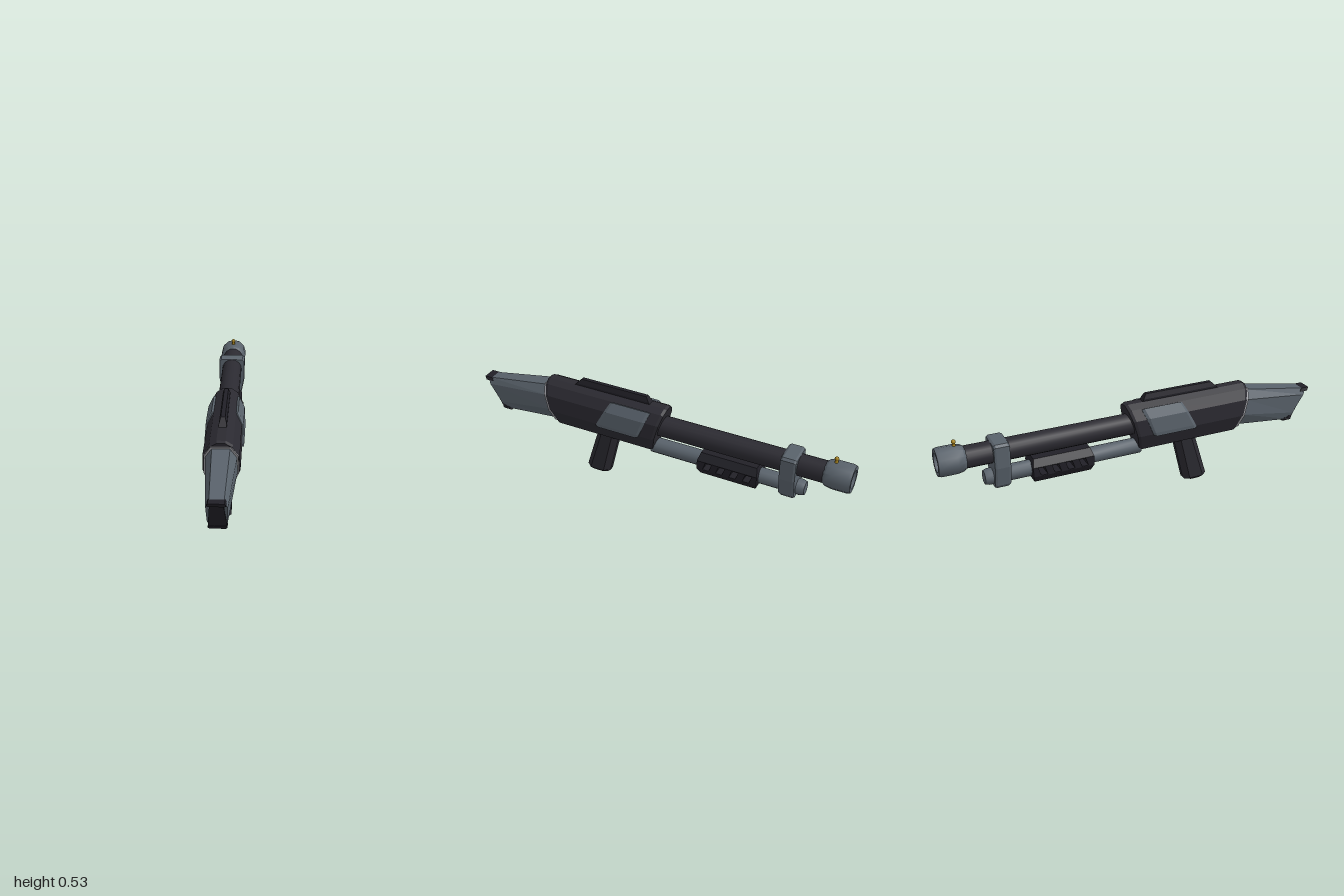
import * as THREE from 'three';
import { toCreasedNormals } from 'three/addons/utils/BufferGeometryUtils.js';

const mat = (name, color) => {
  const m = new THREE.MeshStandardMaterial({ color });
  m.name = name;
  return m;
};

// Full outline from a right-hand half listed bottom to top
const full = (half) => [...half, ...half.slice().reverse().map(([x, y]) => [-x, y])];

// z as a straight line through (y0, z0) and (y1, z1)
const slope = (y0, z0, y1, z1) => (y) => z0 + ((y - y0) / (y1 - y0)) * (z1 - z0);

// Put an outline on a slanted plane, optionally shrunk about (cx, cy)
const ring = (pts, zOf, dz = 0, s = 1, cx = 0, cy = 0) =>
  pts.map(([x, y]) => [cx + (x - cx) * s, cy + (y - cy) * s, zOf(y) + dz]);

// Capped flat-shaded skin over rings ordered toward +z
function loft(rings) {
  const pos = [];
  const n = rings[0].length;
  const tri = (a, b, c) => pos.push(...a, ...b, ...c);
  for (let i = 0; i < rings.length - 1; i++) {
    for (let j = 0; j < n; j++) {
      const k = (j + 1) % n;
      tri(rings[i][j], rings[i][k], rings[i + 1][k]);
      tri(rings[i][j], rings[i + 1][k], rings[i + 1][j]);
    }
  }
  const first = rings[0], last = rings[rings.length - 1];
  for (let j = 1; j < n - 1; j++) {
    tri(first[0], first[j + 1], first[j]);
    tri(last[0], last[j], last[j + 1]);
  }
  const g = new THREE.BufferGeometry();
  g.setAttribute('position', new THREE.Float32BufferAttribute(pos, 3));
  g.computeVertexNormals();
  return g;
}

// Turned part along -z; profile is [radius, distance forward]
function turned(profile, y, sides) {
  const g = new THREE.LatheGeometry(profile.map(([r, d]) => new THREE.Vector2(r, d)), sides);
  g.rotateX(-Math.PI / 2).translate(0, y, 0);
  return toCreasedNormals(g, 0.6);
}

export function createModel() {
  const model = new THREE.Group();
  model.name = 'longGun';
  const dark = mat('dark gunmetal', 0x2b2a31);
  const grey = mat('slate grey', 0x59626b);
  const black = mat('black rubber', 0x212027);
  const silver = mat('silver trim', 0x96969b);
  const gold = mat('brass', 0xa8841f);
  const add = (name, geometry, material) => {
    const mesh = new THREE.Mesh(geometry, material);
    mesh.name = name;
    model.add(mesh);
    return mesh;
  };

  // Receiver with slanted, chamfered ends
  const body = full([[0.045, 0.25], [0.084, 0.34], [0.081, 0.425], [0.052, 0.475], [0.02, 0.495]]);
  const front = slope(0.495, -0.065, 0.25, 0);
  const rear = slope(0.495, 0.61, 0.25, 0.555);
  add('receiver', loft([
    ring(body, front, 0, 0.94, 0, 0.375), ring(body, front, 0.014),
    ring(body, rear, -0.014), ring(body, rear, 0, 0.94, 0, 0.375),
  ]), dark);

  // Raised side plates
  const plate = [[0.06, 0.325], [0.092, 0.33], [0.094, 0.35], [0.089, 0.43], [0.063, 0.478], [0.035, 0.465]];
  const plateBack = slope(0.48, 0.005, 0.33, 0.06);
  const plateFront = slope(0.48, 0.225, 0.33, 0.3);
  for (const s of [1, -1]) {
    const p = plate.map(([x, y]) => [x * s, y]);
    if (s < 0) p.reverse();
    add(s > 0 ? 'leftPlate' : 'rightPlate', loft([
      ring(p, plateBack, 0, 0.93, 0, 0.4), ring(p, plateBack, 0.014),
      ring(p, plateFront, -0.014), ring(p, plateFront, 0, 0.93, 0, 0.4),
    ]), grey);
  }

  // Top rail
  const rail = full([[0.018, 0.485], [0.018, 0.505], [0.01, 0.53]]);
  add('topRail', loft([
    ring(rail, slope(0.495, 0.03, 0.53, 0.05)), ring(rail, slope(0.495, 0.45, 0.53, 0.415)),
  ]), black);

  // Stock, trim ring and butt pad
  const trim = full([[0.046, 0.264], [0.078, 0.335], [0.076, 0.425], [0.045, 0.472]]);
  add('stockTrim', loft([ring(trim, rear, -0.01), ring(trim, rear, 0.01)]), silver);
  const root = full([[0.04, 0.275], [0.072, 0.34], [0.07, 0.42], [0.04, 0.465]]);
  const tip = full([[0.032, 0.238], [0.043, 0.275], [0.045, 0.37], [0.03, 0.4]]);
  const butt = slope(0.4, 0.985, 0.238, 0.885);
  add('stock', loft([ring(root, rear), ring(tip, butt)]), grey);
  const pad = full([[0.038, 0.236], [0.04, 0.25], [0.028, 0.395]]);
  add('buttPad', loft([ring(pad, butt, -0.012), ring(pad, butt, 0.008)]), black);
  const heel = full([[0.034, 0.384], [0.04, 0.388], [0.034, 0.404]]);
  add('buttHeel', loft([ring(heel, butt, -0.03), ring(heel, butt, 0.014)]), black);
  const toe = full([[0.034, 0.233], [0.041, 0.24], [0.038, 0.25]]);
  add('buttToe', loft([ring(toe, butt, -0.03), ring(toe, butt, 0.012)]), black);

  // Raked grip: sections stacked upward, [height, rear z, front z, half width]
  const gripRings = [
    [0, 0.385, 0.28, 0.026], [0.014, 0.402, 0.266, 0.037], [0.27, 0.323, 0.203, 0.036],
  ].map(([h, zr, zf, w]) => full([
    [0.01, -zr], [w, -zr + 0.03], [w, -zf - 0.03], [0.012, -zf],
  ]).map(([x, y]) => [x, y, h]));
  add('grip', loft(gripRings).rotateX(-Math.PI / 2), dark);

  // Barrel, hollow muzzle and bead sight
  add('barrel', turned([[0, 0], [0.054, 0], [0.054, 0.9], [0, 0.9]], 0.38, 16), dark);
  add('muzzle', turned([
    [0.05, 0.862], [0.064, 0.878], [0.07, 0.91], [0.07, 0.985], [0.066, 1],
    [0.046, 1], [0.042, 0.91], [0, 0.91],
  ], 0.38, 12), grey);
  const post = add('sightPost', new THREE.CylinderGeometry(0.007, 0.009, 0.03, 8), gold);
  post.position.set(0, 0.455, -0.91);
  const bead = add('sightBead', new THREE.SphereGeometry(0.011, 8, 6), gold);
  bead.position.set(0, 0.468, -0.91);

  // Magazine tube, in two lengths either side of the pump slots
  add('tubeRear', turned([[0, -0.015], [0.04, -0.015], [0.04, 0.27], [0, 0.27]], 0.254, 12), grey);
  add('tubeFront', turned([
    [0, 0.54], [0.04, 0.54], [0.04, 0.765], [0.034, 0.785], [0, 0.785],
  ], 0.254, 12), grey);

  // Pump: slotted middle band with chamfered top and bottom
  const band = new THREE.Shape([[-0.56, 0.231], [-0.25, 0.231], [-0.25, 0.279], [-0.56, 0.279]]
    .map(([z, y]) => new THREE.Vector2(z, y)));
  for (let i = 0; i < 4; i++) {
    const z = -0.304 - i * 0.0695;
    band.holes.push(new THREE.Path([
      [z - 0.01, 0.235], [z - 0.023, 0.275], [z + 0.01, 0.275], [z + 0.023, 0.235],
    ].map(([u, v]) => new THREE.Vector2(u, v))));
  }
  const bandGeo = new THREE.ExtrudeGeometry(band, { depth: 0.124, bevelEnabled: false });
  add('pumpBand', bandGeo.rotateY(-Math.PI / 2).translate(0.062, 0, 0), black);
  const cap = (name, half, yIn, yOut) => add(name, loft([
    ring(full(half), slope(yIn, -0.56, yOut, -0.55)), ring(full(half), slope(yIn, -0.25, yOut, -0.26)),
  ]), black);
  cap('pumpTop', [[0.062, 0.279], [0.036, 0.315]], 0.279, 0.315);
  cap('pumpBottom', [[0.036, 0.193], [0.062, 0.231]], 0.231, 0.193);

  // Band clamping barrel and tube together
  const clamp = full([[0.036, 0.203], [0.052, 0.222], [0.071, 0.32], [0.071, 0.428], [0.06, 0.44]]);
  const at = (z) => () => z;
  add('barrelClamp', loft([
    ring(clamp, at(-0.745), 0, 0.95, 0, 0.32), ring(clamp, at(-0.735)),
    ring(clamp, at(-0.678)), ring(clamp, at(-0.668), 0, 0.95, 0, 0.32),
  ]), grey);

  return model;
}
